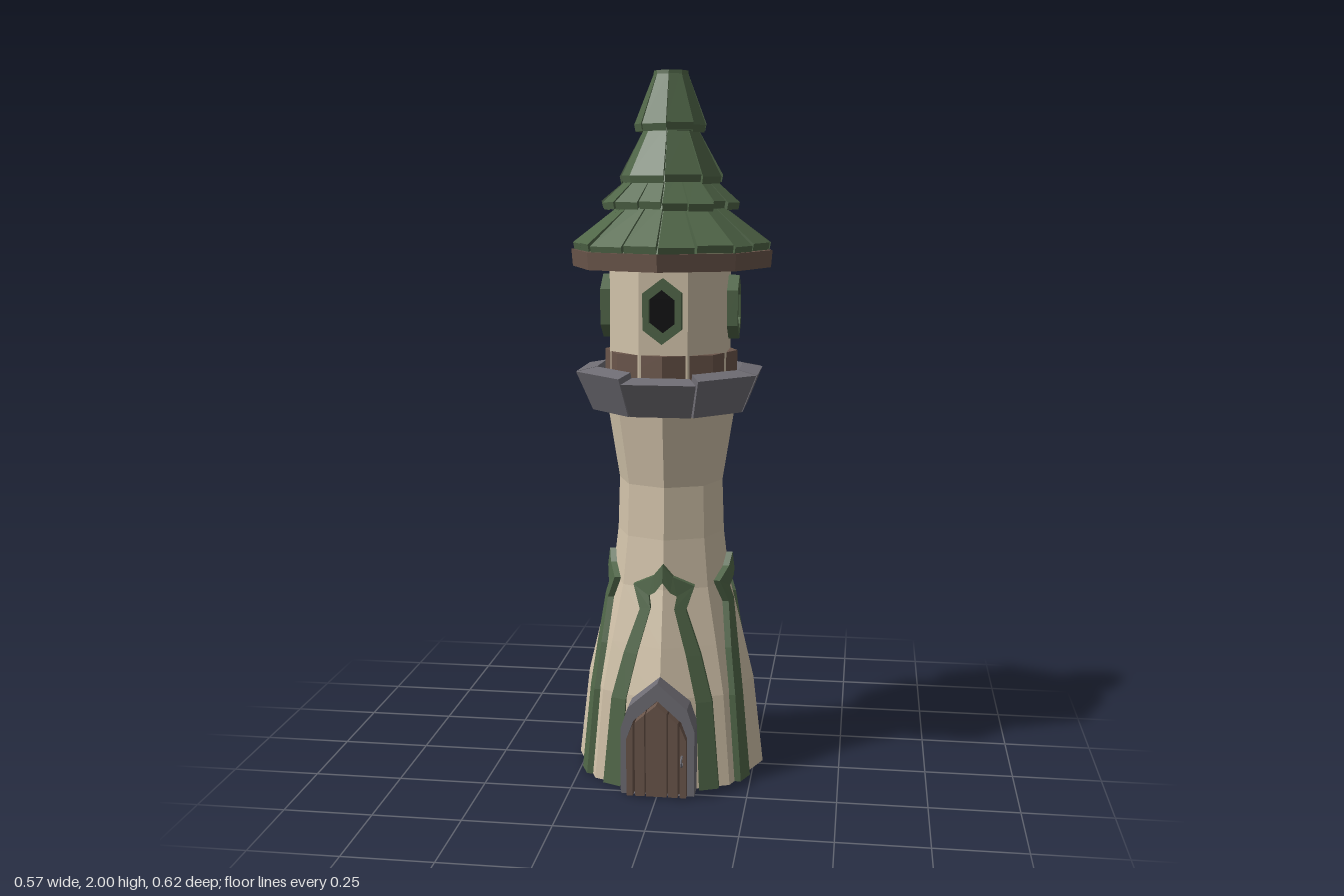
import * as THREE from 'three';

const mat = (name, color) => {
  const m = new THREE.MeshStandardMaterial({ color });
  m.name = name;
  return m;
};

// Facet a geometry so every polygon is shaded flat
const facet = (g) => {
  const f = g.index ? g.toNonIndexed() : g;
  f.computeVertexNormals();
  return f;
};

// Closed solid through four-cornered cross-sections, turned outward by its signed volume
function loft(sections) {
  const tris = [];
  const quad = (a, b, c, d) => tris.push([a, b, c], [a, c, d]);
  for (let s = 0; s < sections.length - 1; s++) {
    const p = sections[s], q = sections[s + 1];
    for (let i = 0; i < 4; i++) quad(p[i], p[(i + 1) % 4], q[(i + 1) % 4], q[i]);
  }
  const a = sections[0], b = sections[sections.length - 1];
  quad(a[3], a[2], a[1], a[0]);
  quad(b[0], b[1], b[2], b[3]);
  let volume = 0;
  for (const [u, v, w] of tris) volume += u.dot(v.clone().cross(w));
  if (volume < 0) tris.forEach((t) => t.reverse());
  return facet(new THREE.BufferGeometry().setFromPoints(tris.flat()));
}

const polar = (angle, r, y) => new THREE.Vector3(Math.sin(angle) * r, y, Math.cos(angle) * r);

// Wedge-shaped block: profile is four [radius, height] corners
const wedge = (a0, a1, profile) =>
  loft([a0, a1].map((a) => profile.map(([r, y]) => polar(a, r, y))));

const outline = (pts) => new THREE.Shape(pts.map(([x, y]) => new THREE.Vector2(x, y)));
const extrude = (shape, depth) =>
  facet(new THREE.ExtrudeGeometry(shape, { depth, bevelEnabled: false }));

// Half-width profile of the flared shaft: [radius, height]
const SHAFT = [[0.275, 0], [0.245, 0.26], [0.212, 0.4], [0.172, 0.56], [0.155, 0.7], [0.15, 0.85], [0.187, 1.08]];
function shaftRadius(y) {
  for (let i = 1; i < SHAFT.length; i++) {
    const [r0, y0] = SHAFT[i - 1], [r1, y1] = SHAFT[i];
    if (y <= y1) return r0 + ((r1 - r0) * (y - y0)) / (y1 - y0);
  }
  return 0.187;
}

export function createModel() {
  const cream = mat('cream plaster', 0xd2c3aa);
  const green = mat('green', 0x506648);
  const brown = mat('brown wood', 0x6b564b);
  const darkBrown = mat('dark wood', 0x47372f);
  const grey = mat('grey stone', 0x6f6d74);
  const black = mat('window black', 0x0b0b0d);

  const model = new THREE.Group();
  model.name = 'tower';
  const tower = new THREE.Group();
  tower.name = 'towerBody';
  tower.position.z = -0.025;
  model.add(tower);

  const add = (parent, name, geometry, material, x = 0, y = 0, z = 0) => {
    const m = new THREE.Mesh(geometry, material);
    m.name = name;
    m.position.set(x, y, z);
    parent.add(m);
    return m;
  };
  const octagon = (name, rTop, rBottom, y0, y1, material) =>
    add(tower, name, facet(new THREE.CylinderGeometry(rTop, rBottom, y1 - y0, 8)), material, 0, (y0 + y1) / 2);

  let seed = 7;
  const jitter = (amount) => {
    seed = (seed * 16807) % 2147483647;
    return (seed / 2147483647 - 0.5) * 2 * amount;
  };

  // Shaft, base and upper drum
  const profile = SHAFT.map(([r, y]) => new THREE.Vector2(r, y));
  add(tower, 'shaft', facet(new THREE.LatheGeometry(profile, 8)), cream);
  octagon('basePlate', 0.255, 0.255, 0, 0.008, green);
  octagon('drum', 0.178, 0.178, 1.15, 1.48, cream).rotation.y = Math.PI / 8;

  // Stone gallery of eight leaning blocks
  octagon('galleryFloor', 0.22, 0.19, 1.065, 1.15, grey);
  for (let i = 0; i < 8; i++) {
    const c = (i * Math.PI) / 4, h = Math.PI / 8 - 0.012;
    const k = 1.08, dy = jitter(0.008), dr = jitter(0.004);
    add(tower, 'galleryBlock', wedge(c - h + jitter(0.01), c + h + jitter(0.01), [
      [0.17 * k, 1.06], [0.212 * k, 1.06], [(0.254 + dr) * k, 1.163 + dy], [0.2 * k, 1.175 + dy],
    ]), grey);
  }
  octagon('drumCollar', 0.19, 0.19, 1.15, 1.225, brown);

  // Green ogee straps and windows on all four sides
  const STRAP = [ // inner x, inner y, outer x, outer y
    [0, 0.585, 0, 0.635], [0.022, 0.555, 0.028, 0.6], [0.04, 0.545, 0.087, 0.57], [0.034, 0.51, 0.066, 0.505],
    [0.07, 0.38, 0.11, 0.38], [0.1, 0.25, 0.144, 0.25], [0.113, 0, 0.166, 0],
  ];
  const onShaft = (x, y, out) =>
    new THREE.Vector3(x, y, shaftRadius(y) - Math.abs(x) * Math.tan(Math.PI / 8) + out);
  const hexagon = (w, h, s) => [[0, -h], [w, -s], [w, s], [0, h], [-w, s], [-w, -s]];
  const frameShape = outline(hexagon(0.053, 0.09, 0.05));
  frameShape.holes.push(outline(hexagon(0.036, 0.06, 0.032)));

  for (let i = 0; i < 4; i++) {
    const side = new THREE.Group();
    side.name = 'towerSide';
    side.rotation.y = (i * Math.PI) / 2;
    tower.add(side);
    for (const s of [1, -1]) {
      add(side, 'archStrap', loft(STRAP.map(([xi, yi, xo, yo]) => [
        onShaft(s * xi, yi, -0.02), onShaft(s * xo, yo, -0.02),
        onShaft(s * xo, yo, 0.018), onShaft(s * xi, yi, 0.018),
      ])), green);
    }
    add(side, 'windowFrame', extrude(frameShape, 0.037), green, 0, 1.348, 0.158);
    // the rear window is blind
    if (i !== 2) add(side, 'windowPane', extrude(outline(hexagon(0.04, 0.064, 0.035)), 0.006), black, 0, 1.348, 0.166);
  }

  // Roof: fascia, core and four tiers of tiles
  octagon('roofFascia', 0.287, 0.283, 1.46, 1.508, brown);
  const TIERS = [ // tiles, outer radius, its height, inner radius, its height
    [16, 0.28, 1.512, 0.14, 1.635],
    [16, 0.192, 1.628, 0.105, 1.72],
    [8, 0.143, 1.7, 0.072, 1.85],
    [8, 0.102, 1.84, 0.046, 1.998],
  ];
  TIERS.forEach(([n, r0, y0, r1, y1], t) => {
    octagon('roofCore', r1 - 0.004, r0 - 0.012, y0 - 0.004, y1 - 0.004, green);
    const step = (2 * Math.PI) / n;
    for (let i = 0; i < n; i++) {
      const d = t ? jitter(0.005) : jitter(0.002), lift = jitter(0.004);
      // corners sit on an octagon, so the radius shrinks between its vertices
      const sections = [i * step + 0.012, (i + 1) * step - 0.012 + jitter(0.008)].map((a) => {
        const local = (a + Math.PI * 2) % (Math.PI / 4) - Math.PI / 8;
        const k = Math.cos(Math.PI / 8) / Math.cos(local) + (n === 16 ? 0.01 : 0);
        return [
          polar(a, (r0 + d - 0.004) * k, y0 - 0.006 + lift), polar(a, (r0 + d) * k, y0 + 0.014 + lift),
          polar(a + jitter(0.02), r1 * k, y1), polar(a, (r1 - 0.02) * k, y1 - 0.025),
        ];
      });
      add(tower, 'roofTile', loft(sections), green);
    }
  });
  octagon('roofCap', 0.048, 0.052, 1.97, 2, green);

  // Pointed doorway
  const door = new THREE.Group();
  door.name = 'door';
  model.add(door);
  const arch = (w, shoulder, bend, peak) => [
    [-w, 0], [w, 0], [w, shoulder], [w * 0.8, bend], [0, peak], [-w * 0.8, bend], [-w, shoulder],
  ];
  const surround = outline(arch(0.104, 0.19, 0.252, 0.325));
  surround.holes.push(outline(arch(0.084, 0.17, 0.215, 0.275)));
  add(door, 'doorSurround', extrude(surround, 0.084), grey, 0, 0, 0.18);
  add(door, 'doorBacking', extrude(outline(arch(0.086, 0.17, 0.215, 0.275)), 0.07), darkBrown, 0, 0, 0.18);

  // Planks cut to follow the arch
  const plankTop = (x) => {
    const a = Math.abs(x);
    return a > 0.067 ? 0.215 - ((a - 0.067) / 0.017) * 0.045 : 0.27 - (a / 0.067) * 0.058;
  };
  for (const [x0, x1] of [[-0.084, -0.066], [-0.06, -0.033], [-0.029, 0.029], [0.033, 0.06], [0.066, 0.084]]) {
    const pts = [[x0, 0.004], [x1, 0.004], [x1, plankTop(x1)]];
    if (x0 < 0 && x1 > 0) pts.push([0, plankTop(0)]);
    pts.push([x0, plankTop(x0)]);
    add(door, 'doorPlank', extrude(outline(pts), 0.058), brown, 0, 0, 0.23);
  }
  const handle = add(door, 'doorHandle', facet(new THREE.TorusGeometry(0.014, 0.003, 5, 10)), grey, 0.073, 0.115, 0.296);
  handle.rotation.y = Math.PI / 2;

  return model;
}
